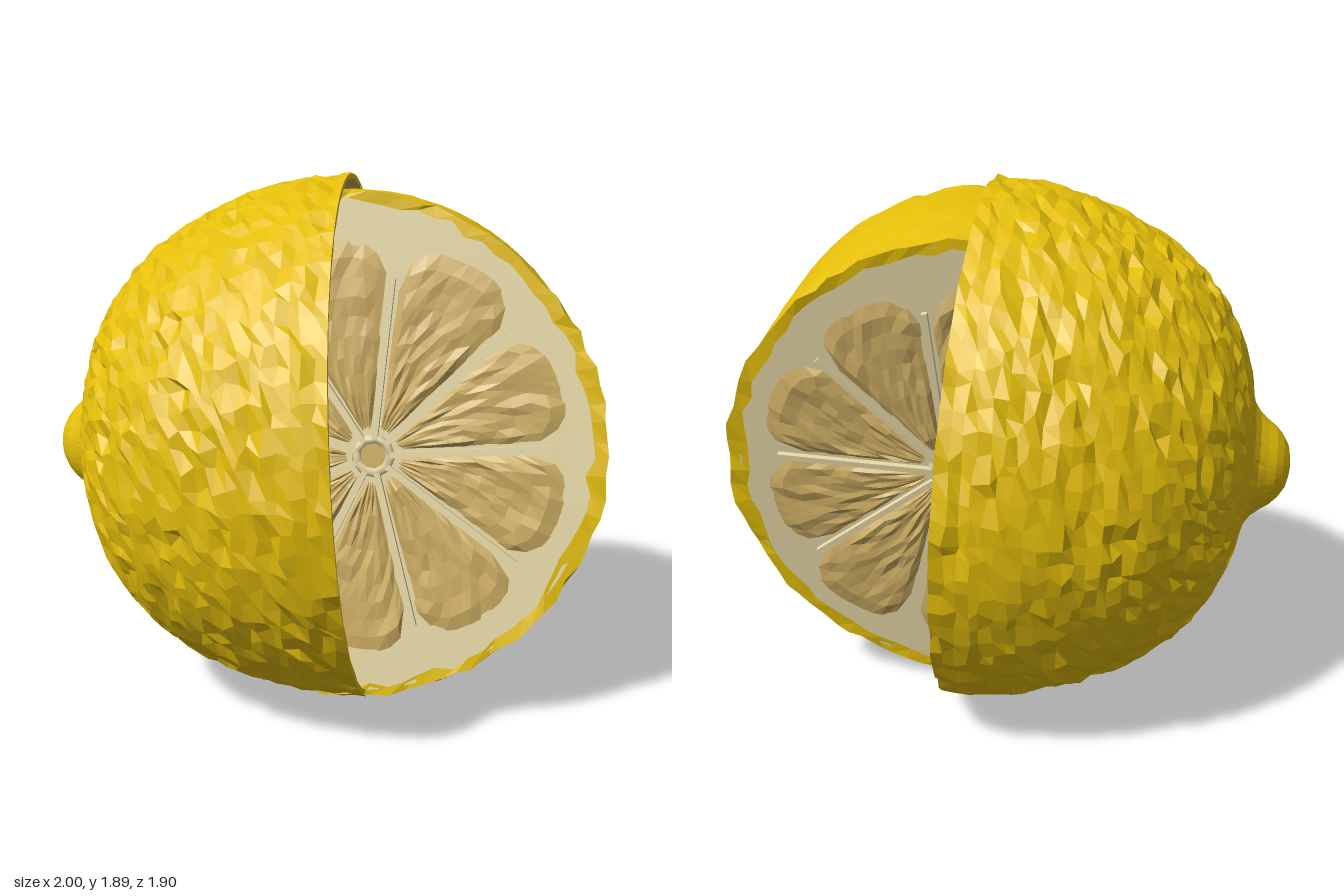
import * as THREE from 'three';

const TAU = Math.PI * 2;
const mat = (name, color, double) =>
  new THREE.MeshStandardMaterial({ name, color, ...(double ? { side: THREE.DoubleSide } : {}) });

// Repeatable noise in -1..1 for a pair of grid indices
function noise(i, j, k = 0) {
  const s = Math.sin(i * 127.1 + j * 311.7 + k * 74.7 + 3.1) * 43758.5453;
  return (s - Math.floor(s)) * 2 - 1;
}

// Faceted surface from a rule p(u, v, i, j); a wrapped grid closes in u
function grid(nu, nv, p, wrap = true) {
  const pos = [], idx = [];
  for (let j = 0; j <= nv; j++)
    for (let i = 0; i <= nu; i++) pos.push(...p(i / nu, j / nv, wrap ? i % nu : i, j));
  for (let j = 0; j < nv; j++)
    for (let i = 0; i < nu; i++) {
      const a = j * (nu + 1) + i, d = a + nu + 1;
      idx.push(a, a + 1, d + 1, a, d + 1, d);
    }
  const g = new THREE.BufferGeometry();
  g.setAttribute('position', new THREE.Float32BufferAttribute(pos, 3));
  g.setIndex(idx);
  const flat = g.toNonIndexed();
  flat.computeVertexNormals();
  return flat;
}

function add(parent, name, geometry, material) {
  const m = new THREE.Mesh(geometry, material);
  m.name = name;
  parent.add(m);
  return m;
}

export function createModel() {
  const peel = mat('lemon yellow peel', 0xe4be0a);
  const pith = mat('cream pith', 0xe6d8a6, true);
  const pulp = mat('tan pulp', 0xceae64, true);
  const model = new THREE.Group();
  model.name = 'cutLemon';

  // Half lemon: rough shell turned about x, with a nipple at the closed end
  const half = new THREE.Group();
  half.name = 'halfLemon';
  half.position.set(0.14, 0.945, 0);
  half.rotation.z = 0.064;
  model.add(half);
  const profile = new THREE.SplineCurve([
    [-1.145, 0], [-1.13, 0.08], [-1.085, 0.14], [-1.03, 0.18], [-0.99, 0.235], [-0.96, 0.36],
    [-0.89, 0.515], [-0.785, 0.65], [-0.63, 0.77], [-0.43, 0.865], [-0.2, 0.927], [0, 0.94],
  ].map(([a, r]) => new THREE.Vector2(a, r)));
  const NU = 88, NV = 40;
  add(half, 'halfPeel', grid(NU, NV, (u, v, i, j) => {
    const inner = j > 0 && j < NV;
    const q = profile.getPointAt(inner ? v + 0.3 * noise(i, j, 1) / NV * v : v);
    const t = (i + (inner ? 0.35 * noise(i, j, 2) : 0)) / NU * TAU;
    const n = noise(i, j);
    const bump = n < -0.85 ? -0.018 : 0.01 * n;
    const s = 1 + bump * Math.min(1, q.y * 1.6) ** 2;
    return [q.x * (inner ? s : 1), q.y * s * Math.cos(t), q.y * s * Math.sin(t)];
  }), peel);

  // Thin cut rim and the shallow hollow behind it
  const ring = (r, x) => (u) => [x, r * Math.cos(u * TAU), r * Math.sin(u * TAU)];
  add(half, 'halfRim', grid(NU, 1, (u, v, i) =>
    ring(v ? 0.922 + 0.006 * noise(i, 7) : 0.94, 0)(u)), peel);
  add(half, 'hollow', grid(64, 14, (u, v) => {
    const a = v * Math.PI / 2;
    return ring(0.928 * Math.cos(a), -0.002 - 0.27 * Math.sin(a))(u);
  }), pulp);

  // Thick round slice, leaning back, tucked into the hollow and wider at its free end
  const slice = new THREE.Group();
  slice.name = 'slice';
  slice.position.set(0, 0.925, 0.012);
  slice.rotation.x = -0.158;
  model.add(slice);
  const H = 0.285, CX = 0.09, HUB = 0.2, FLARE = 0.045;
  // Rim point; w runs from -1 on the back face to 1 on the front face
  const rim = (t, r, w) => {
    const c = Math.cos(t), x = CX + r * c * (c < 0 ? 0.5 : 1);
    return [x, r * Math.sin(t), w * (H + FLARE * (x - HUB))];
  };

  // Peel band, turned over both edges in a jagged line
  const BV = 14;
  add(slice, 'slicePeel', grid(NU, BV, (u, v, i, j) => {
    const t = u * TAU;
    if (j === 0 || j === BV) return rim(t, 0.845 + 0.016 * noise(i, j, 3), j ? 1 : -1);
    const w = (j - 1) / (BV - 2) * 2 - 1;
    const side = Math.max(0, Math.cos(t)) ** 4;
    const bulge = Math.cos(w * Math.PI / 2) * (0.025 - 0.05 * side);
    const rough = Math.sin(t) < -0.4 ? 0.011 : 0.003;
    const edge = Math.abs(w) === 1 ? 0.01 : rough;
    return rim(t + 0.015 * noise(i, j, 1), 0.878 + 0.025 * side + bulge + edge * noise(i, j),
      w + 0.025 * noise(i, j, 2));
  }), peel);

  // Pulp wedge between two membranes, ragged on top and rounded outside
  function wedge(mid, k) {
    const n = 10, sin = Math.sin(mid);
    return grid(n, n, (u, v, i, j) => {
      const s = u * 2 - 1;
      const reach = 0.66 + 0.06 * Math.abs(sin) + 0.025 * sin + 0.012 * noise(k, 5);
      const rad = THREE.MathUtils.lerp(reach * (1 - 0.17 * s ** 4), 0.085, v);
      const spread = Math.PI / 9 - Math.asin(0.016 / rad);
      const border = i === 0 || i === n || j === 0 || j === n;
      const jit = border ? 0 : noise(i + k * 13, j, 1) * 0.3 / n;
      const t = mid + (s + jit) * spread;
      return [rad * Math.cos(t), rad * Math.sin(t),
        border ? -0.004 : 0.009 + 0.007 * noise(i + k * 13, j)];
    }, false);
  }

  // Both cut faces share one build; the back one is turned over
  for (const [name, turn, start] of [['frontFace', 0, 5], ['backFace', Math.PI, -5]]) {
    const face = new THREE.Group();
    face.name = name;
    face.rotation.x = turn;
    slice.add(face);
    add(face, 'pith', grid(64, 4, (u, v) => rim(u * TAU, 0.862 * (1 - v), 0.994)), pith);

    const core = new THREE.Group();
    core.name = 'segments';
    core.position.set(HUB, -0.02, H);
    core.rotation.y = -FLARE;
    face.add(core);
    for (let k = 0; k < 9; k++) {
      const a = (k * 40 + start) * Math.PI / 180;
      add(core, 'pulpSegment', wedge(a + Math.PI / 9, k), pulp);
      const membrane = add(core, 'membrane', new THREE.BoxGeometry(0.55, 0.02, 0.026), pith);
      membrane.position.set(0.335 * Math.cos(a), 0.335 * Math.sin(a), 0.008);
      membrane.rotation.z = a;
    }
    // Open core in the middle
    add(core, 'coreRing', new THREE.TorusGeometry(0.06, 0.018, 5, 9), pith);
    add(core, 'coreHole', new THREE.CircleGeometry(0.045, 9), pulp);
  }
  return model;
}
